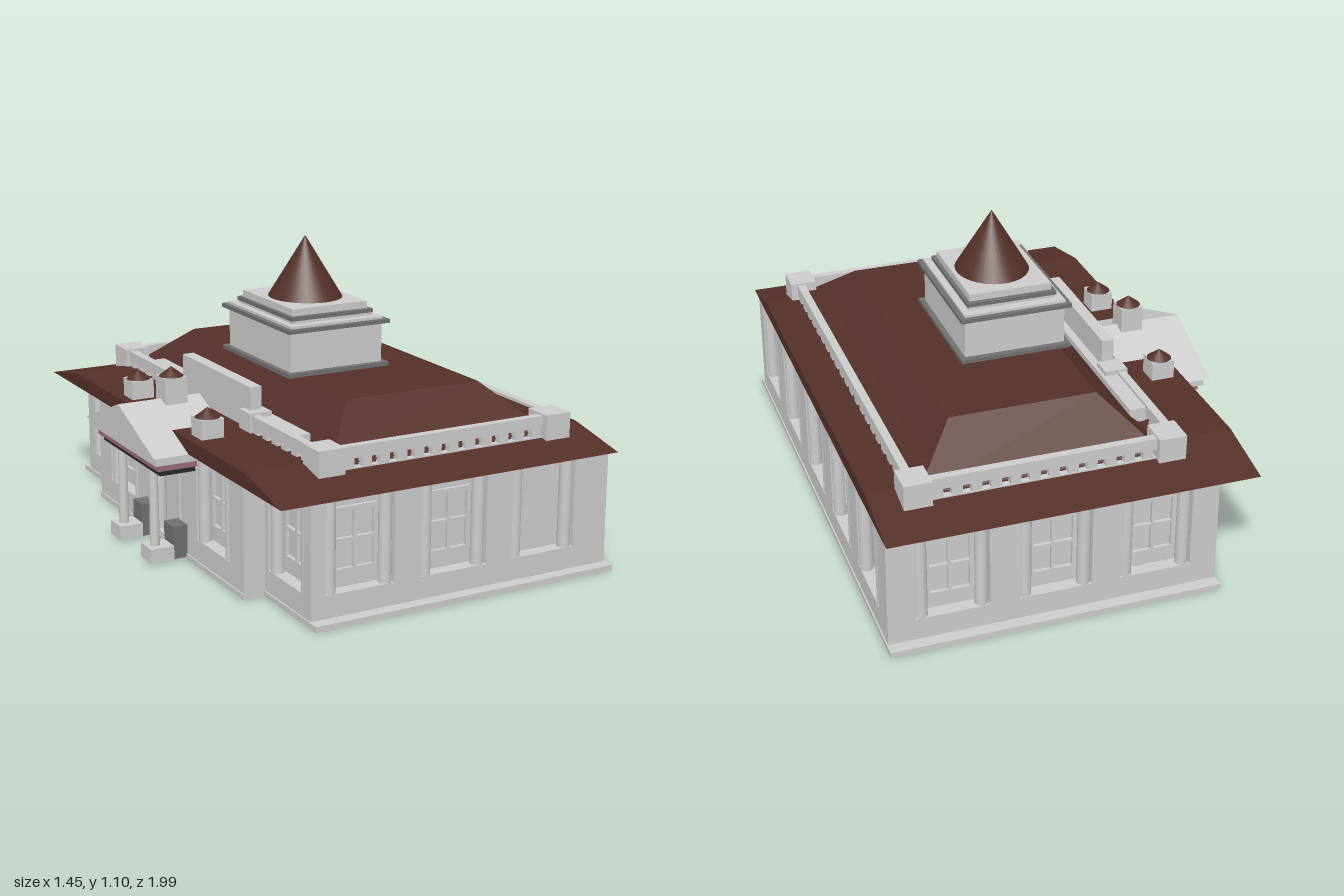
import * as THREE from 'three';

const mat = (color) => new THREE.MeshStandardMaterial({ color, flatShading: true });
const grey = mat(0xcccccc), red = mat(0x55302a), dark = mat(0x707070), black = mat(0x2a2a2a), pink = mat(0x9a6a78);
const smoothGrey = new THREE.MeshStandardMaterial({ color: 0xcccccc });
const smoothRed = new THREE.MeshStandardMaterial({ color: 0x55302a });

function add(parent, name, geometry, material = grey) {
  const m = new THREE.Mesh(geometry, material);
  m.name = name;
  parent.add(m);
  return m;
}

// Box given by its limits on each axis
function box(parent, name, x0, x1, y0, y1, z0, z1, material = grey) {
  const m = add(parent, name, new THREE.BoxGeometry(x1 - x0, y1 - y0, z1 - z0), material);
  m.position.set((x0 + x1) / 2, (y0 + y1) / 2, (z0 + z1) / 2);
  return m;
}

function rect(x0, x1, y0, y1, Type = THREE.Shape) {
  const s = new Type();
  s.moveTo(x0, y0);
  s.lineTo(x1, y0);
  s.lineTo(x1, y1);
  s.lineTo(x0, y1);
  s.closePath();
  return s;
}

const slab = (shape, depth) => new THREE.ExtrudeGeometry(shape, { depth, bevelEnabled: false });

// Frame with four panes, centred on x
function windowGeometry() {
  const s = rect(-0.083, 0.083, 0.155, 0.38);
  for (const x of [-0.038, 0.038]) for (const y of [0.215, 0.32]) {
    s.holes.push(rect(x - 0.032, x + 0.032, y - 0.047, y + 0.047, THREE.Path));
  }
  return slab(s, 0.015);
}

// Wall with recessed bays; local z points outward from the outer face at z = 0
function wall(parent, name, x, z, turn, width, bays) {
  const g = new THREE.Group();
  g.name = name;
  g.position.set(x, 0, z);
  g.rotation.y = turn;
  parent.add(g);
  const shape = rect(-width / 2, width / 2, 0, 0.435);
  const depth = 0.05;
  for (const { at, sill = 0.1, panes = true } of bays) {
    shape.holes.push(rect(at - 0.13, at + 0.13, sill, 0.428, THREE.Path));
    box(g, 'bayPanel', at - 0.135, at + 0.135, sill - 0.005, 0.433, -depth - 0.012, -depth + 0.002);
    for (const s of [-1, 1]) {
      const c = add(g, 'bayColumn', new THREE.CylinderGeometry(0.023, 0.023, 0.43 - sill, 16), smoothGrey);
      c.position.set(at + s * 0.106, (0.43 + sill) / 2, -0.023);
    }
    if (panes) add(g, 'window', windowGeometry()).position.set(at, 0, -depth);
  }
  add(g, 'wallFace', slab(shape, depth)).position.z = -depth;
}

// Four-sided frustum between two rectangles [x0, x1, halfZ]
function hip(b, t, y0, y1) {
  const g = new THREE.BoxGeometry(1, 1, 1);
  const p = g.attributes.position;
  for (let i = 0; i < p.count; i++) {
    const r = p.getY(i) > 0 ? t : b;
    p.setXYZ(i, p.getX(i) > 0 ? r[1] : r[0], p.getY(i) > 0 ? y1 : y0, Math.sign(p.getZ(i)) * r[2]);
  }
  g.computeVertexNormals();
  return g;
}

// Prism whose profile of [z, y] points is symmetric in z, running from x0 to x1
function prism(points, x0, x1) {
  const s = new THREE.Shape(points.map(([a, y]) => new THREE.Vector2(a, y)));
  return slab(s, x1 - x0).rotateY(Math.PI / 2).translate(x0, 0, 0);
}

// Pierced railing along local x: top rail, bottom rail and balusters
function railing(parent, name, x, z, turn, length) {
  const g = new THREE.Group();
  g.name = name;
  g.position.set(x, 0, z);
  g.rotation.y = turn;
  parent.add(g);
  const h = length / 2;
  box(g, 'topRail', -h, h, 0.507, 0.55, -0.015, 0.015);
  box(g, 'bottomRail', -h, h, 0.455, 0.476, -0.015, 0.015);
  const n = Math.round(length / 0.07), step = length / n;
  for (let i = 0; i < n; i++) {
    const c = -h + (i + 0.5) * step;
    box(g, 'baluster', c - 0.019, c + 0.019, 0.475, 0.508, -0.013, 0.013);
  }
}

export function createModel() {
  const model = new THREE.Group();
  const q = Math.PI / 2;

  // Plinth ring
  for (const s of [-1, 1]) {
    box(model, 'plinth', -0.475, 0.72, 0, 0.02, s > 0 ? 0.9 : -0.995, s > 0 ? 0.995 : -0.9);
  }
  box(model, 'plinth', 0.63, 0.72, 0, 0.02, -0.9, 0.9);
  box(model, 'plinth', -0.555, -0.42, 0, 0.02, -0.63, 0.63);
  for (const s of [-1, 1]) box(model, 'plinth', -0.475, -0.42, 0, 0.02, s * 0.765 - 0.135, s * 0.765 + 0.135);

  // Walls
  wall(model, 'frontWall', 0.1225, 0.95, 0, 1.185,
    [{ at: -0.4075 }, { at: -0.0425 }, { at: 0.3225, panes: false }]);
  wall(model, 'backWall', 0.1225, -0.95, Math.PI, 1.185, [{ at: -0.365 }, { at: 0 }, { at: 0.365 }]);
  wall(model, 'eastWall', 0.715, 0, q, 1.9, [{ at: -0.755 }, { at: -0.39 },
    { at: -0.02, panes: false }, { at: 0.35 }, { at: 0.715, panes: false }]);
  wall(model, 'entranceWall', -0.55, 0, -q, 1.26, [{ at: -0.39 }, { at: 0, sill: 0.03, panes: false }, { at: 0.39 }]);
  for (const s of [-1, 1]) {
    wall(model, 'westEndWall', -0.47, s * 0.785, -q, 0.33, [{ at: 0 }]);
    box(model, 'entranceReturn', -0.55, -0.46, 0, 0.435, s * 0.61 - 0.02, s * 0.61 + 0.02);
  }

  // Main roof and upper hip
  add(model, 'mainRoof', prism([[-0.995, 0.434], [0.995, 0.434], [0.75, 0.487], [-0.75, 0.487]], -0.6, 0.722), red);
  add(model, 'upperRoof', hip([-0.315, 0.56, 0.805], [-0.145, 0.39, 0.61], 0.485, 0.643), red);
  box(model, 'eastDeck', 0.49, 0.566, 0.485, 0.54, -0.7, 0.7, red);
  box(model, 'westDeck', -0.34, -0.28, 0.485, 0.54, -0.6, 0.6);

  // Parapet with corner blocks
  for (const s of [-1, 1]) {
    railing(model, 'endRailing', 0.12, s * 0.81, 0, 0.82);
    railing(model, 'westRailing', -0.355, s * 0.54, q, 0.42);
    for (const x of [-0.335, 0.57]) {
      box(model, 'cornerBlock', x - 0.05, x + 0.05, 0.465, 0.557, s * 0.795 - 0.055, s * 0.795 + 0.055);
    }
    box(model, 'parapetPost', -0.378, -0.292, 0.48, 0.557, s * 0.3 - 0.042, s * 0.3 + 0.042);
  }
  railing(model, 'eastRailing', 0.58, 0, q, 1.5);
  box(model, 'parapetWall', -0.355, -0.31, 0.48, 0.64, -0.26, 0.3);

  // Cupola: stacked steps as [halfX, halfZ, y0, y1, material]
  const cupola = new THREE.Group();
  cupola.name = 'cupola';
  cupola.position.x = 0.023;
  model.add(cupola);
  const tiers = [
    [0.207, 0.268, 0.642, 0.657, dark], [0.188, 0.245, 0.655, 0.803, grey],
    [0.208, 0.27, 0.803, 0.817, dark], [0.19, 0.252, 0.816, 0.826, grey],
    [0.163, 0.215, 0.826, 0.836, grey], [0.168, 0.216, 0.836, 0.85, dark], [0.154, 0.197, 0.85, 0.876, grey],
  ];
  for (const [hx, hz, y0, y1, m] of tiers) box(cupola, 'cupolaTier', -hx, hx, y0, y1, -hz, hz, m);
  const spire = add(cupola, 'spire', new THREE.ConeGeometry(0.135, 0.227, 40), smoothRed);
  spire.position.set(0.004, 0.9885, 0);
  spire.scale.z = 1.11;

  // Portico: gable roof, stepped beam, columns on pedestals
  const portico = new THREE.Group();
  portico.name = 'portico';
  model.add(portico);
  add(portico, 'gableRoof', prism([[-0.31, 0.434], [0.31, 0.434], [0, 0.556]], -0.73, -0.41));
  box(portico, 'upperBeam', -0.715, -0.55, 0.4, 0.436, -0.29, 0.29);
  box(portico, 'middleBeam', -0.7, -0.55, 0.374, 0.4, -0.272, 0.272, pink);
  box(portico, 'lowerBeam', -0.685, -0.55, 0.352, 0.374, -0.255, 0.255, black);
  for (const z of [-0.14, 0.14]) {
    const c = add(portico, 'porticoColumn', new THREE.CylinderGeometry(0.016, 0.018, 0.29, 20), smoothGrey);
    c.position.set(-0.66, 0.205, z);
    box(portico, 'columnCapital', -0.683, -0.637, 0.342, 0.354, z - 0.023, z + 0.023);
    box(portico, 'pedestal', -0.695, -0.605, 0.008, 0.06, z - 0.045, z + 0.045);
    box(portico, 'stepBlock', -0.605, -0.55, 0.008, 0.13, z - 0.04, z + 0.04, dark);
  }

  // Small turrets with conical caps
  for (const [z, y0, y1] of [[-0.3, 0.46, 0.557], [0, 0.53, 0.636], [0.3, 0.46, 0.557]]) {
    box(model, 'turret', -0.564, -0.478, y0, y1, z - 0.042, z + 0.042);
    const cap = add(model, 'turretCap', new THREE.ConeGeometry(0.045, 0.035, 24), smoothRed);
    cap.position.set(-0.521, y1 + 0.0175, z);
  }
  return model;
}
